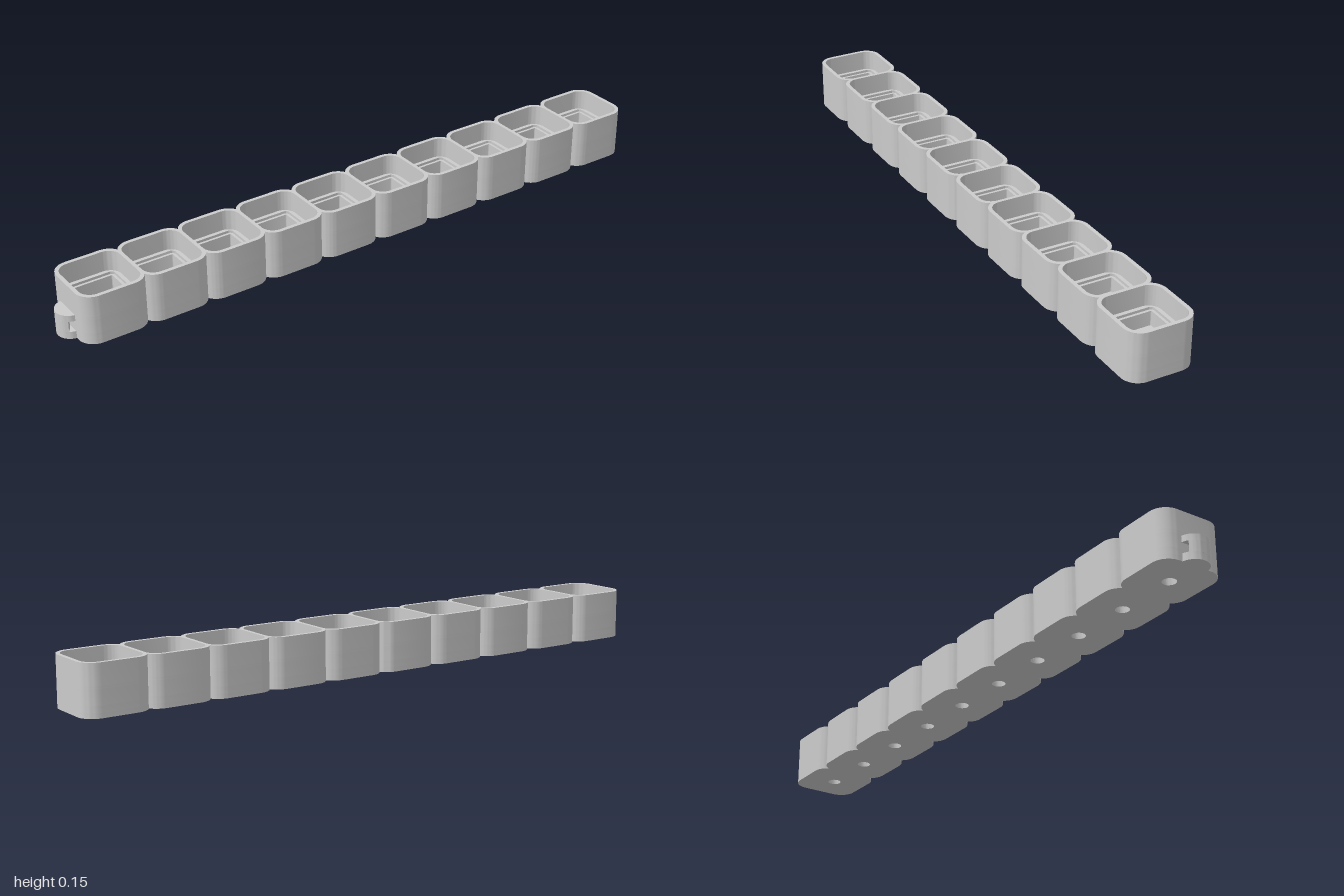
import * as THREE from 'three';
import { toCreasedNormals } from 'three/addons/utils/BufferGeometryUtils.js';

const COUNT = 10, PITCH = 0.195, HALF = 0.104, RADIUS = 0.05;
const FIRST = HALF - 1 + 0.0365; // centre of the cell beside the loop
const centres = Array.from({ length: COUNT }, (_, i) => FIRST + i * PITCH);
const material = new THREE.MeshStandardMaterial({ color: 0xcccccc });

// Joined outline of all the rounded square cells
function stripOutline() {
  const c = HALF - RADIUS;
  const seam = Math.acos((PITCH / 2 - c) / RADIUS);
  const points = [];
  const arc = (cx, cy, a0, a1) => {
    for (let k = 0; k <= 10; k++) {
      const a = a0 + (a1 - a0) * k / 10;
      points.push(new THREE.Vector2(cx + RADIUS * Math.cos(a), cy + RADIUS * Math.sin(a)));
    }
  };
  centres.forEach((x, i) => {
    arc(x - c, -c, i === 0 ? Math.PI : Math.PI + seam, Math.PI * 1.5);
    arc(x + c, -c, Math.PI * 1.5, Math.PI * 2 - (i === COUNT - 1 ? 0 : seam));
  });
  [...centres].reverse().forEach((x, i) => {
    arc(x + c, c, i === 0 ? 0 : seam, Math.PI / 2);
    arc(x - c, c, Math.PI / 2, Math.PI - (i === COUNT - 1 ? 0 : seam));
  });
  return new THREE.Shape(points);
}

function circleHole(x, y, r) {
  return new THREE.Path().absarc(x, y, r, 0, Math.PI * 2, true);
}

function squareHole(x, h, r) {
  const p = new THREE.Path(), c = h - r;
  p.absarc(x + c, c, r, Math.PI / 2, 0, true);
  p.absarc(x + c, -c, r, 0, -Math.PI / 2, true);
  p.absarc(x - c, -c, r, -Math.PI / 2, -Math.PI, true);
  p.absarc(x - c, c, r, Math.PI, Math.PI / 2, true);
  p.closePath();
  return p;
}

// Upright slab of a plan shape between two heights
function slab(name, shape, y0, y1) {
  let g = new THREE.ExtrudeGeometry(shape, { depth: y1 - y0, bevelEnabled: false, curveSegments: 10 });
  g.rotateX(-Math.PI / 2);
  g.translate(0, y0, 0);
  g = toCreasedNormals(g, 0.6);
  const mesh = new THREE.Mesh(g, material);
  mesh.name = name;
  return mesh;
}

function layer(name, y0, y1, holesFor) {
  const shape = stripOutline();
  centres.forEach(x => shape.holes.push(...holesFor(x)));
  return slab(name, shape, y0, y1);
}

export function createModel() {
  const model = new THREE.Group();
  model.name = 'socketStrip';

  // Body: base, pin-hole floor, square sockets, small step and outer rims
  model.add(
    layer('base', 0, 0.015, x => [circleHole(x, 0, 0.0205)]),
    layer('pinFloor', 0.015, 0.035, x => [
      circleHole(x, 0, 0.0205),
      circleHole(x - 0.052, 0, 0.009), circleHole(x + 0.052, 0, 0.009),
      circleHole(x - 0.039, 0.026, 0.009), circleHole(x + 0.026, 0.052, 0.009),
    ]),
    layer('socketWalls', 0.035, 0.08, x => [squareHole(x, 0.072, 0.003)]),
    layer('socketStep', 0.08, 0.088, x => [squareHole(x, 0.08, 0.012)]),
    layer('cellRims', 0.088, 0.152, x => [squareHole(x, 0.092, 0.038)]),
  );

  // Cord loop on the end: two half discs joined by a curved post
  const loop = new THREE.Group();
  loop.name = 'cordLoop';
  const cx = -0.956, r = 0.044;
  const disc = () => new THREE.Shape().absarc(cx, 0, r, Math.PI / 2, Math.PI * 1.5, false);
  const post = new THREE.Shape();
  post.absarc(cx, 0, r, Math.PI * 0.7, Math.PI * 1.3, false);
  post.absarc(cx, 0, 0.025, Math.PI * 1.3, Math.PI * 0.7, true);
  loop.add(
    slab('loopBottom', disc(), 0, 0.023),
    slab('loopPost', post, 0.023, 0.056),
    slab('loopTop', disc(), 0.056, 0.075),
  );
  model.add(loop);
  return model;
}
